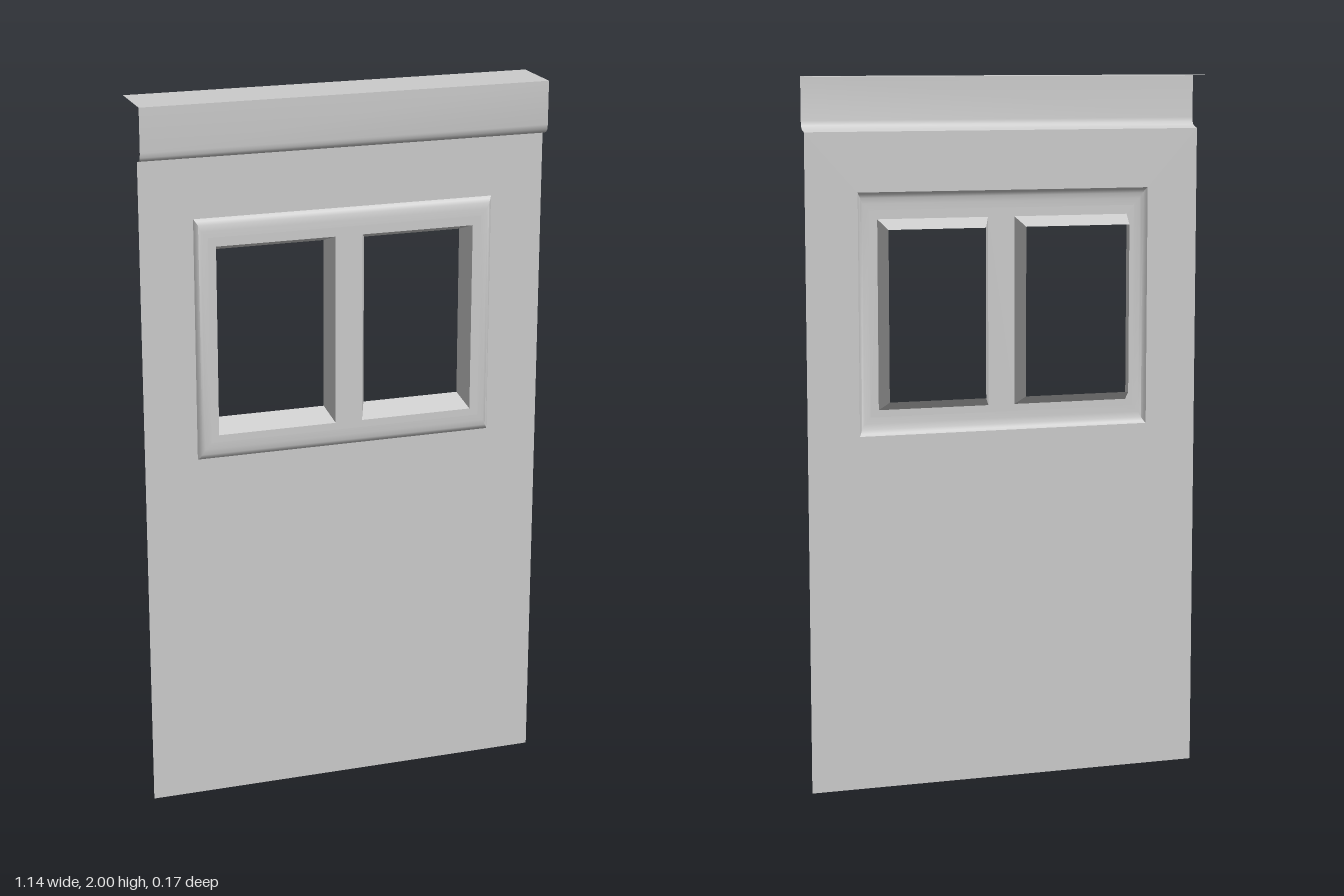
import * as THREE from 'three';
import { toCreasedNormals } from 'three/addons/utils/BufferGeometryUtils.js';

const WIDTH = 1.142;
const WALL_Z = 0.05;
const FRAME_Z = 0.067;
const WALL_TOP = 1.85;

const material = new THREE.MeshStandardMaterial({ color: 0xcccccc, side: THREE.DoubleSide });

function addMesh(group, name, geometry) {
  const mesh = new THREE.Mesh(geometry, material);
  mesh.name = name;
  group.add(mesh);
}

// Corners of a rectangle, counter-clockwise seen from the front
const corners = ({ l, r, b, t }) => [[l, b], [r, b], [r, t], [l, t]];

const inset = ({ l, r, b, t }, dx, dy) => ({ l: l + dx, r: r - dx, b: b + dy, t: t - dy });

// Flat sheet facing +z with rectangular holes
function sheet(rect, holes, z) {
  const toPoints = (q) => corners(q).map(([x, y]) => new THREE.Vector2(x, y));
  const shape = new THREE.Shape(toPoints(rect));
  for (const h of holes) shape.holes.push(new THREE.Path(toPoints(h).reverse()));
  return new THREE.ShapeGeometry(shape).translate(0, 0, z);
}

// Mitred band joining successive rectangles, outermost first
function rectLoft(rings) {
  const positions = [];
  for (let k = 0; k < rings.length - 1; k++) {
    const a = corners(rings[k].rect).map((p) => [...p, rings[k].z]);
    const b = corners(rings[k + 1].rect).map((p) => [...p, rings[k + 1].z]);
    for (let i = 0; i < 4; i++) {
      const j = (i + 1) % 4;
      positions.push(...a[i], ...a[j], ...b[j], ...a[i], ...b[j], ...b[i]);
    }
  }
  const geometry = new THREE.BufferGeometry();
  geometry.setAttribute('position', new THREE.Float32BufferAttribute(positions, 3));
  return toCreasedNormals(geometry, 0.75);
}

export function createModel() {
  const group = new THREE.Group();
  group.name = 'doorPanel';

  const frame = { l: -0.423, r: 0.423, b: 1.01, t: 1.685 };
  const windows = [
    { name: 'rightWindowReveal', front: { l: -0.366, r: -0.032, b: 1.08, t: 1.61 }, back: { l: -0.35, r: -0.045, b: 1.11, t: 1.585 } },
    { name: 'leftWindowReveal', front: { l: 0.045, r: 0.364, b: 1.08, t: 1.61 }, back: { l: 0.072, r: 0.35, b: 1.11, t: 1.585 } },
  ];

  // Main sheet with the frame opening
  addMesh(group, 'wall', sheet({ l: -WIDTH / 2, r: WIDTH / 2, b: 0, t: WALL_TOP }, [frame], WALL_Z));

  // Raised rounded border around both windows: [dx, dy, z]
  const border = [
    [0, 0, WALL_Z],
    [0.004, 0.006, 0.057],
    [0.01, 0.016, 0.063],
    [0.018, 0.032, 0.066],
    [0.035, 0.05, FRAME_Z],
  ];
  addMesh(group, 'windowFrame', rectLoft(border.map(([dx, dy, z]) => ({ rect: inset(frame, dx, dy), z }))));

  // Flat face between the border and the windows
  addMesh(group, 'framePanel', sheet(inset(frame, 0.035, 0.05), windows.map((w) => w.front), FRAME_Z));

  // Tapered reveals running back from each window
  for (const w of windows) {
    addMesh(group, w.name, rectLoft([{ rect: w.front, z: FRAME_Z }, { rect: w.back, z: 0 }]));
  }

  // Top ledge and cornice, swept from back edge down to the wall: [y, z]
  const profile = [
    [2, -0.085],
    [2, 0.085],
    [1.88, 0.085],
    [1.867, 0.083],
    [1.859, 0.077],
    [1.855, 0.068],
    [WALL_TOP, WALL_Z],
  ];
  const cornice = new THREE.PlaneGeometry(WIDTH, 1, 1, profile.length - 1);
  const pos = cornice.attributes.position;
  for (let i = 0; i < pos.count; i++) {
    const [y, z] = profile[Math.floor(i / 2)];
    pos.setY(i, y);
    pos.setZ(i, z);
  }
  addMesh(group, 'cornice', toCreasedNormals(cornice, 0.75));

  return group;
}
